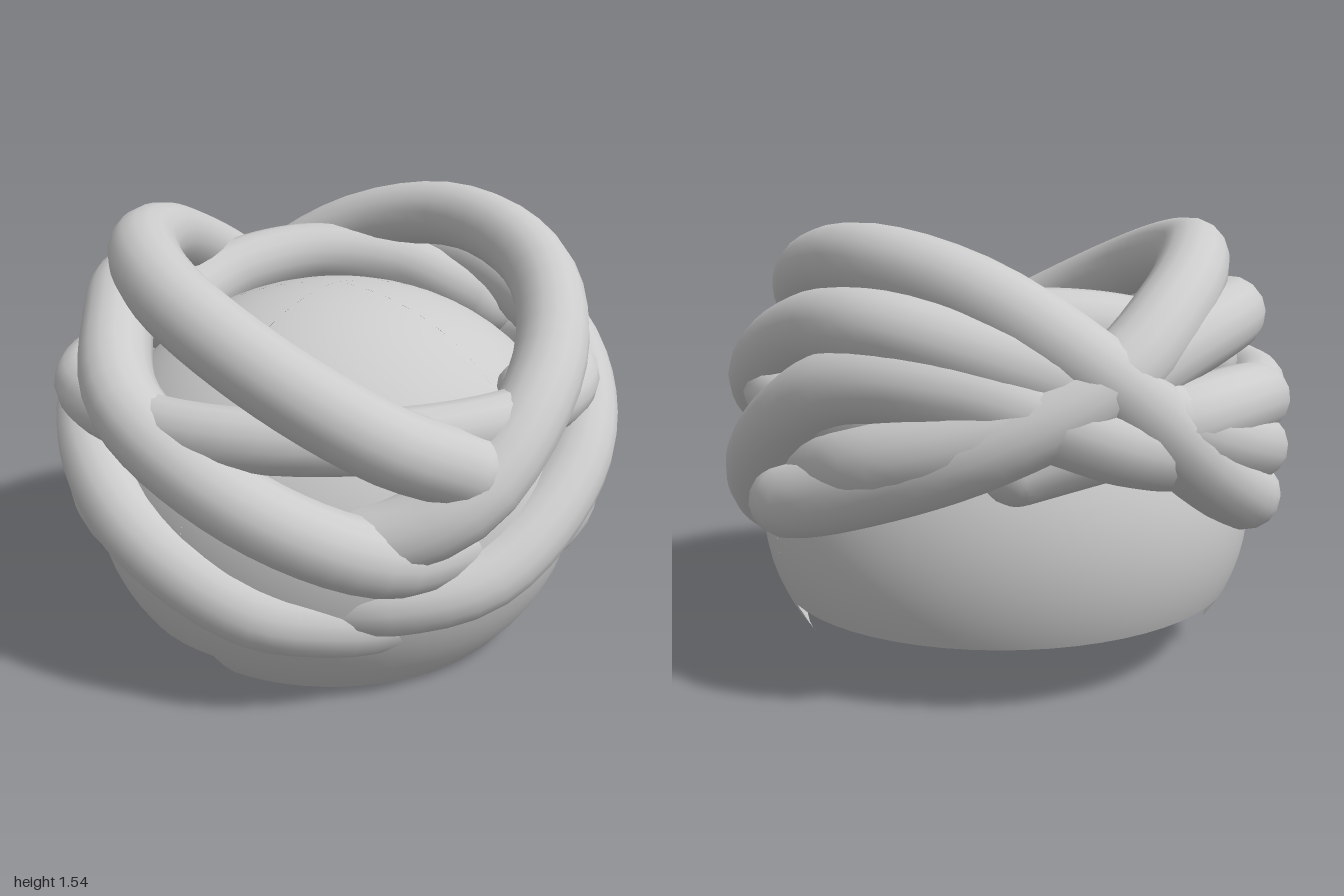
import * as THREE from 'three';

const material = new THREE.MeshStandardMaterial({ color: 0xcccccc, side: THREE.DoubleSide });
const rad = THREE.MathUtils.degToRad;
const ROLL = 0.12; // thickness of a rolled cloth strand

// Distance of a strand's centre from the vertical axis, by height
const ENVELOPE = [[0.2, 0.75], [0.35, 0.81], [0.6, 0.875], [0.95, 0.875], [1.1, 0.83], [1.3, 0.725], [1.45, 0.645]];
function envelope(y) {
  for (let i = 1; i < ENVELOPE.length; i++) {
    const [y0, r0] = ENVELOPE[i - 1], [y1, r1] = ENVELOPE[i];
    if (y <= y1) return THREE.MathUtils.lerp(r0, r1, (y - y0) / (y1 - y0));
  }
  return 0.645;
}

// Point from azimuth (degrees from the front towards +x), height and optional radius;
// the low strands follow the cap, which is shallower than it is wide
function wrapPoint([azimuth, y, r = envelope(y)]) {
  const depth = THREE.MathUtils.lerp(0.92, 1, THREE.MathUtils.smoothstep(y, 0.5, 1));
  return new THREE.Vector3(r * Math.sin(rad(azimuth)), y, depth * r * Math.cos(rad(azimuth)));
}

function addMesh(group, name, geometry) {
  const mesh = new THREE.Mesh(geometry, material);
  mesh.name = name;
  group.add(mesh);
  return mesh;
}

// A rolled strand with rounded ends
function addStrand(parent, name, path) {
  const strand = new THREE.Group();
  strand.name = name;
  const points = path.map(wrapPoint);
  const curve = new THREE.CatmullRomCurve3(points, false, 'centripetal');
  addMesh(strand, 'roll', new THREE.TubeGeometry(curve, 56, ROLL, 16));
  for (const end of [points[0], points[points.length - 1]]) {
    addMesh(strand, 'rollEnd', new THREE.SphereGeometry(ROLL, 16, 10)).position.copy(end);
  }
  parent.add(strand);
}

export function createModel() {
  const model = new THREE.Group();
  model.name = 'wrappedHeadCloth';

  // Inner cap: an open dome whose lower rim steps up from front to back
  const cap = new THREE.Group();
  cap.name = 'innerCap';
  const sectors = [
    ['capFront', 48, 84, 133.9],
    ['capRight', 132, 70, 122.7],
    ['capBack', 202, 136, 111.5],
    ['capLeft', 338, 70, 122.7],
  ];
  for (const [name, start, sweep, drop] of sectors) {
    addMesh(cap, name, new THREE.SphereGeometry(1, Math.round(sweep / 6), 24, rad(start), rad(sweep), 0, rad(drop)));
  }
  cap.scale.set(0.88, 0.75, 0.8);
  cap.position.y = 0.52;
  model.add(cap);

  // Level band under the crossing strands
  const band = addMesh(model, 'levelBand', new THREE.TorusGeometry(0.86, 0.1, 14, 56));
  band.rotation.x = Math.PI / 2;
  band.scale.y = 0.9;
  band.position.set(-0.03, 0.965, 0);

  // Tucked end of the cloth
  addMesh(model, 'tuckedEnd', new THREE.SphereGeometry(0.11, 16, 12)).position.set(0.57, 0.98, 0.44);

  // Crossing strands: [azimuth, height, radius]
  const strands = {
    upperLeftStrand: [[-8, 0.6, 0.8], [8, 0.68, 0.85], [20, 0.78, 0.87], [38, 0.97, 0.82], [58, 1.14, 0.77], [82, 1.3, 0.71],
      [108, 1.4, 0.65], [137, 1.42, 0.65], [168, 1.33, 0.73], [193, 1.1, 0.86], [215, 0.82], [240, 0.62], [265, 0.55],
      [288, 0.48, 0.78], [310, 0.45, 0.7], [340, 0.46, 0.68], [365, 0.5, 0.68], [390, 0.56, 0.68]],
    upperRightStrand: [[19, 0.86, 0.84], [0, 1.0, 0.87], [-22, 1.17, 0.81], [-52, 1.34, 0.73], [-85, 1.41, 0.66], [-118, 1.39, 0.66],
      [-145, 1.28, 0.75], [-167, 1.1, 0.85], [-192, 0.92], [-222, 0.74], [-242, 0.65], [-258, 0.62, 0.75]],
    middleLeftStrand: [[-14, 0.38, 0.7], [5, 0.4, 0.77], [28, 0.46], [62, 0.74], [90, 1.0], [117, 1.2], [146, 1.24, 0.8],
      [180, 1.12], [215, 0.92], [250, 0.76], [285, 0.68, 0.72]],
    middleRightStrand: [[25, 0.54, 0.74], [0, 0.6], [-27, 0.77], [-58, 1.0], [-85, 1.18, 0.76], [-115, 1.23, 0.78],
      [-145, 1.18], [-180, 1.0], [-215, 0.85], [-245, 0.75, 0.75]],
    lowerLeftStrand: [[58, 0.36, 0.7], [76, 0.46, 0.83], [90, 0.6], [108, 0.82], [135, 1.06], [162, 1.08], [195, 0.92], [230, 0.78, 0.75]],
    lowerRightStrand: [[45, 0.42, 0.64], [22, 0.33, 0.67], [2, 0.31, 0.71], [-12, 0.33, 0.76], [-28, 0.38], [-56, 0.58], [-84, 0.8],
      [-115, 0.95], [-150, 0.97], [-185, 0.85, 0.8]],
    innerBackStrand: [[118, 1.08, 0.72], [150, 1.2, 0.66], [180, 1.24, 0.64], [210, 1.2, 0.64], [242, 1.08, 0.7]],
  };
  for (const [name, path] of Object.entries(strands)) addStrand(model, name, path);

  return model;
}
